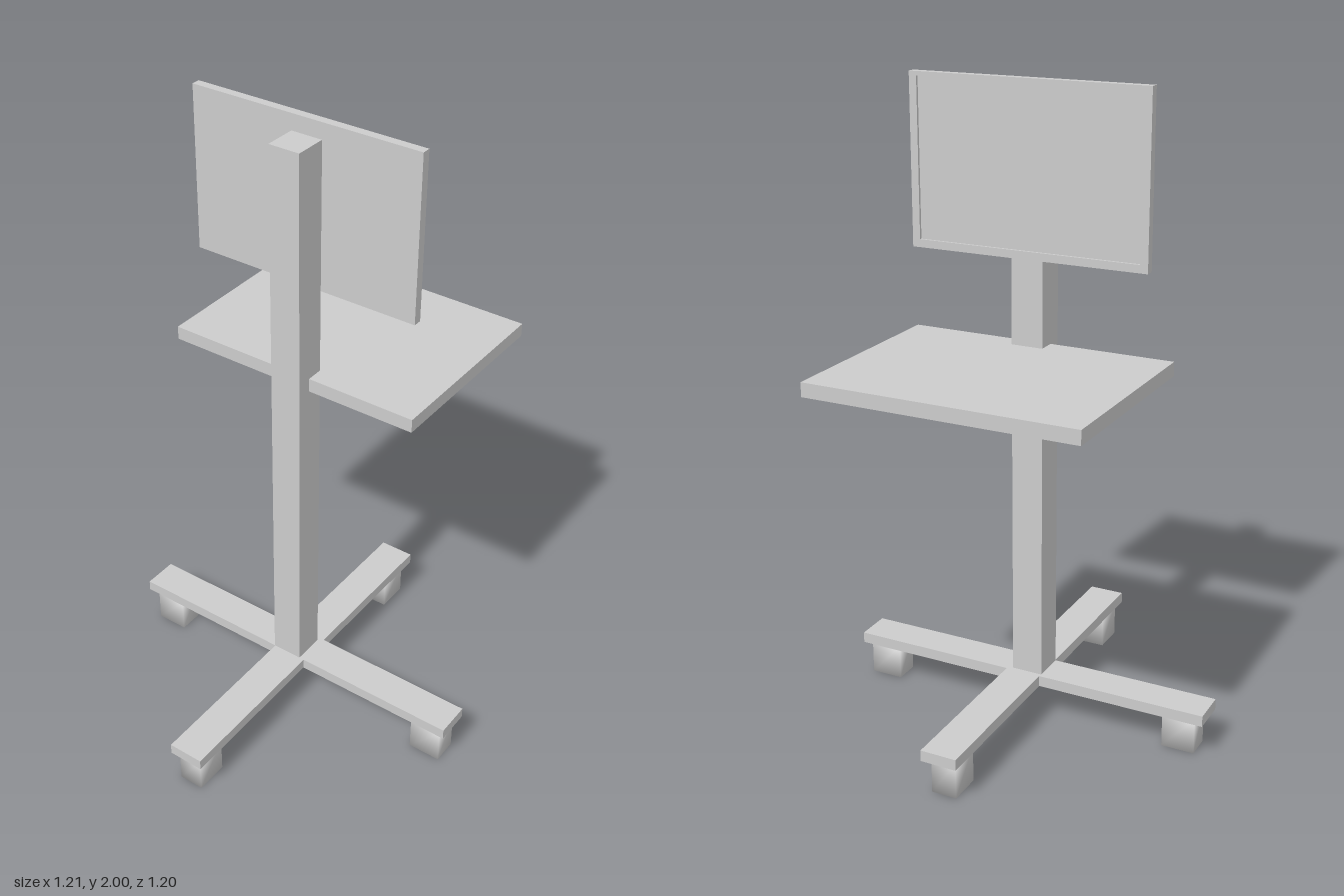
import * as THREE from 'three';
import { mergeVertices } from 'three/addons/utils/BufferGeometryUtils.js';

const material = new THREE.MeshStandardMaterial({ color: 0xcccccc });

// Box given by its minimum and maximum along each axis
function boxGeometry([x0, x1], [y0, y1], [z0, z1]) {
  const g = new THREE.BoxGeometry(x1 - x0, y1 - y0, z1 - z0);
  return g.translate((x0 + x1) / 2, (y0 + y1) / 2, (z0 + z1) / 2);
}

function part(name, geometry) {
  const mesh = new THREE.Mesh(geometry, material);
  mesh.name = name;
  return mesh;
}

// Caster block with corners shaded softly
function caster(name, x, z) {
  const g = boxGeometry(x, [0, 0.115], z);
  g.deleteAttribute('normal');
  g.deleteAttribute('uv');
  const soft = mergeVertices(g);
  soft.computeVertexNormals();
  return part(name, soft);
}

// Display: a thin back panel with a raised rim around the recessed screen
function display() {
  const group = new THREE.Group();
  group.name = 'display';
  const z0 = -0.393, z1 = 0.355, y0 = 1.49, y1 = 2, rim = 0.024;
  const front = 0.06, recess = 0.052;
  group.add(part('screenPanel', boxGeometry([0.033, recess], [y0, y1], [z0, z1])));

  const rect = (C, a, b, c, d) => {
    const s = new C();
    s.moveTo(a, c);
    s.lineTo(b, c);
    s.lineTo(b, d);
    s.lineTo(a, d);
    s.closePath();
    return s;
  };
  // Shape x runs along -z once the frame is turned to face +x
  const shape = rect(THREE.Shape, -z1, -z0, y0, y1);
  shape.holes.push(rect(THREE.Path, -z1 + rim, -z0 - rim, y0 + rim, y1 - rim / 2));
  const frame = new THREE.ExtrudeGeometry(shape, { depth: front - recess, bevelEnabled: false });
  frame.rotateY(Math.PI / 2).translate(recess, 0, 0);
  group.add(part('screenFrame', frame));
  return group;
}

export function createModel() {
  const model = new THREE.Group();
  model.name = 'mobileWorkstation';

  // Crossed base
  const armY = [0.115, 0.15];
  model.add(part('baseArmSideways', boxGeometry([-0.61, 0.583], armY, [-0.055, 0.06])));
  model.add(part('baseArmLengthways', boxGeometry([-0.07, 0.045], armY, [-0.6, 0.595])));

  // One caster under each arm end
  const across = [-0.038, 0.042];
  model.add(caster('casterRight', [-0.59, -0.485], across));
  model.add(caster('casterLeft', [0.448, 0.553], across));
  const middle = [-0.06, 0.02];
  model.add(caster('casterFront', middle, [0.472, 0.577]));
  model.add(caster('casterBack', middle, [-0.567, -0.462]));

  // Post, work surface and display
  model.add(part('post', boxGeometry([-0.07, 0.033], [0.12, 1.95], [-0.057, 0.043])));
  model.add(part('tray', boxGeometry([-0.022, 0.605], [1.18, 1.223], [-0.447, 0.395])));
  model.add(display());
  return model;
}
